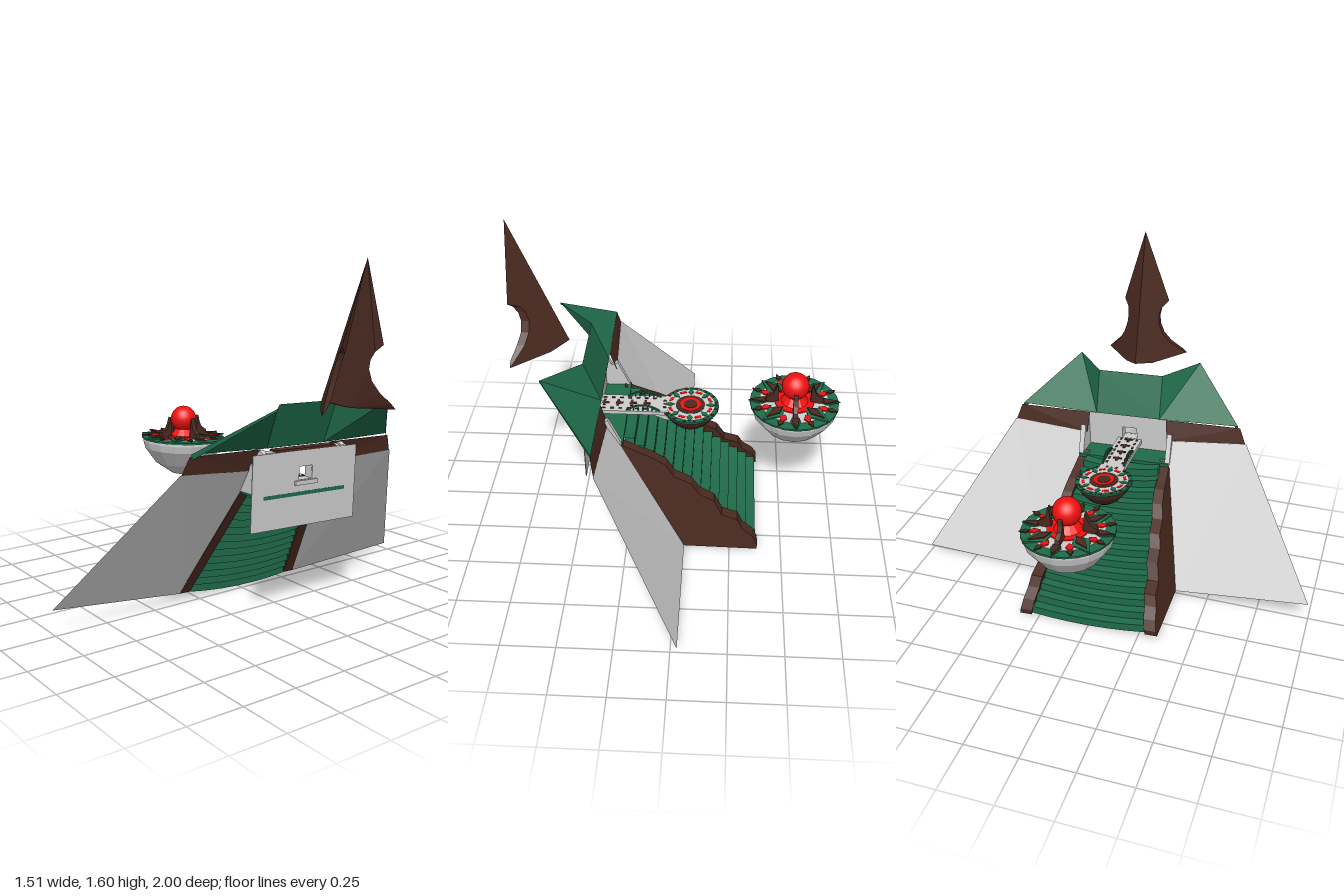
import * as THREE from 'three';

const mat = (color) => new THREE.MeshStandardMaterial({ color, flatShading: true, side: THREE.DoubleSide });

export function createModel() {
  const grey = mat(0xcccccc), brown = mat(0x4a2a20), green = mat(0x1f6b4a), red = mat(0xf01010);
  const root = new THREE.Group();
  const model = new THREE.Group();
  model.name = 'fortress';
  model.rotation.x = -0.04; // the whole model leans slightly back
  root.add(model);

  const add = (name, geo, material, x = 0, y = 0, z = 0, parent = model) => {
    const m = new THREE.Mesh(geo, material);
    m.name = name;
    m.position.set(x, y, z);
    parent.add(m);
    return m;
  };
  const box = (name, material, w, h, d, x, y, z, parent) =>
    add(name, new THREE.BoxGeometry(w, h, d), material, x, y, z, parent);
  const shape = (pts) => new THREE.Shape(pts.map(([x, y]) => new THREE.Vector2(x, y)));
  const extrude = (pts, depth, steps = 1) =>
    new THREE.ExtrudeGeometry(shape(pts), { depth, steps, bevelEnabled: false });
  const reshape = (geo, rule) => {
    const p = geo.attributes.position;
    for (let i = 0; i < p.count; i++) p.setXYZ(i, ...rule(p.getX(i), p.getY(i), p.getZ(i)));
    geo.computeVertexNormals();
    return geo;
  };
  const quad = (...corners) => {
    const geo = new THREE.BufferGeometry();
    geo.setAttribute('position', new THREE.Float32BufferAttribute(corners.flat(), 3));
    geo.setIndex([0, 1, 2, 0, 2, 3]);
    geo.computeVertexNormals();
    return geo;
  };
  const lathe = (pts, sides) => new THREE.LatheGeometry(pts.map(([r, y]) => new THREE.Vector2(r, y)), sides);

  // Staircase: stepped above and below, narrowing upward and sagging in the middle
  const n = 14, wallX = (y) => -0.03 + (y - 0.02) * 0.56;
  const stepY = (i) => 0.02 + i * 0.039, stepX = (i) => -0.375 + i * 0.045;
  const profile = [];
  for (let i = 0; i < n; i++) profile.push([stepX(i), stepY(i)], [stepX(i), stepY(i + 1)]);
  for (let i = n - 1; i >= 0; i--) {
    profile.push([wallX(stepY(i + 1)), stepY(i + 1)], [wallX(stepY(i)), stepY(i + 1)]);
  }
  profile.push([wallX(0.02), 0.02]);
  add('stairs', reshape(extrude(profile, 2, 6), (x, y, z) => {
    const t = z - 1;
    return [x, y - 0.02 * (1 - t * t), t * (0.295 - 0.18 * y)];
  }), green);
  box('landing', green, 0.175, 0.017, 0.47, 0.348, 0.563, 0);

  const wave = [[-0.03, 0.02], [0.29, 0.58], [0.26, 0.555], [0.17, 0.515], [0.13, 0.5], [0.06, 0.46],
    [0.02, 0.4], [-0.06, 0.365], [-0.1, 0.31], [-0.17, 0.275], [-0.21, 0.2], [-0.285, 0.175],
    [-0.31, 0.125], [-0.36, 0.085], [-0.385, 0.04], [-0.385, 0.015]];
  // Spike plate outline
  const spikePts = [[0.515, 0.985], [0.59, 0.965], [0.755, 0.967], [0.735, 0.99], [0.695, 1.04], [0.677, 1.09],
    [0.675, 1.14], [0.685, 1.18], [0.705, 1.215], [0.755, 1.245], [0.755, 1.6]];
  const ridge = (y) => 0.515 + 0.39 * (y - 0.985);

  // Mirrored halves
  for (const s of [1, -1]) {
    const side = new THREE.Group();
    side.name = s > 0 ? 'leftHalf' : 'rightHalf';
    side.scale.z = s;
    model.add(side);
    const part = (name, geo, material) => add(name, geo, material, 0, 0, 0, side);
    part('stairBanister', reshape(extrude(wave, 1), (x, y, t) =>
      [x, y, 0.29 - 0.18 * y + t * (0.06 - 0.02 * y)]), brown);
    part('slopingWall', quad([-0.03, 0.02, 0.345], [-0.03, 0.065, 1], [0.348, 0.687, 0.61], [0.33, 0.665, 0.215]), grey);
    part('wallFascia', quad([0.33, 0.665, 0.21], [0.348, 0.687, 0.605], [0.362, 0.765, 0.575], [0.36, 0.765, 0.2]), brown);
    part('roofWing', quad([0.36, 0.765, 0.165], [0.36, 0.775, 0.565], [0.605, 0.983, 0.317], [0.435, 0.97, 0.165]), green);
    part('roofWingEdge', quad([0.36, 0.775, 0.565], [0.605, 0.983, 0.317], [0.605, 0.973, 0.315], [0.36, 0.75, 0.56]), green);
    const cheek = part('gateSideWall', extrude([[0.265, 0.565], [0.435, 0.565], [0.435, 0.755], [0.4, 0.77],
      [0.375, 0.735], [0.355, 0.69], [0.325, 0.705]], 0.025), grey);
    cheek.position.z = 0.215;
    part('spikePlate', reshape(extrude(spikePts, 1), (x, y, t) =>
      [Math.min(0.755, x + 0.035 * t), y, 0.85 * Math.max(0, x - ridge(y))]), brown);
  }
  add('roofCentre', quad([0.36, 0.765, 0.165], [0.435, 0.97, 0.165], [0.435, 0.97, -0.165], [0.36, 0.765, -0.165]), green);

  // Gate wall and the wider rear panel, both pierced by the same window
  const pierced = (name, halfW, y0, y1, depth, x) => {
    const s = shape([[-halfW, y0], [halfW, y0], [halfW, y1], [-halfW, y1]]);
    s.holes.push(new THREE.Path([[-0.038, 0.625], [-0.038, 0.685], [0.038, 0.685], [0.038, 0.625]]
      .map(([a, b]) => new THREE.Vector2(a, b))));
    const m = add(name, new THREE.ExtrudeGeometry(s, { depth, bevelEnabled: false }), grey, x);
    m.rotation.y = Math.PI / 2;
  };
  pierced('gateWall', 0.225, 0.565, 0.76, 0.045, 0.385);
  pierced('rearPanel', 0.3, 0.415, 0.757, 0.004, 0.431);
  box('lintel', brown, 0.05, 0.012, 0.34, 0.41, 0.762, 0);

  // Walkway with bracket, arched rails and inlays
  box('walkway', grey, 0.385, 0.02, 0.125, 0.252, 0.613, 0);
  add('walkwayBracket', extrude([[0.02, 0.55], [0.08, 0.56], [0.14, 0.588], [0.2, 0.602], [0.29, 0.604], [0.03, 0.61]], 0.08),
    grey, 0, 0, -0.04);
  for (const z of [-0.055, 0.055]) {
    const arch = new THREE.CatmullRomCurve3([[0.1, 0.622], [0.135, 0.645], [0.18, 0.655], [0.225, 0.645], [0.26, 0.622]]
      .map(([x, y]) => new THREE.Vector3(x, y, z)));
    add('archRail', new THREE.TubeGeometry(arch, 12, 0.005, 5), green);
    for (let i = 1; i < 8; i++) {
      const p = arch.getPoint(i / 8);
      box('railPost', green, 0.006, p.y - 0.62, 0.006, p.x, (p.y + 0.62) / 2, z);
    }
    for (let i = 0; i < 7; i++) box('edgeInlay', brown, 0.018, 0.004, 0.01, 0.13 + i * 0.04, 0.624, z * 0.75);
  }
  for (let i = 0; i < 4; i++) {
    box('inlayStem', brown, 0.034, 0.006, 0.012, 0.165 + i * 0.066, 0.624, 0);
    box('inlayBar', brown, 0.012, 0.006, 0.045, 0.172 + i * 0.066, 0.624, 0);
  }

  // Repeats a part around a vertical axis
  const ring = (parent, count, make, offset = 0) => {
    for (let i = 0; i < count; i++) {
      const arm = new THREE.Group();
      arm.rotation.y = (i + offset) * 2 * Math.PI / count;
      parent.add(arm);
      make(arm);
    }
  };
  const disc = (name, material, r, h, y, parent, sides = 24) =>
    add(name, new THREE.CylinderGeometry(r, r, h, sides), material, 0, y, 0, parent);
  // Flat leaf pointing outward from r0 to r1
  const leaf = (name, material, r0, r1, w, y, parent) => {
    const m = add(name, extrude([[r0, 0], [r0 + (r1 - r0) * 0.4, -w], [r1, 0], [r0 + (r1 - r0) * 0.4, w]], 0.006),
      material, 0, y, 0, parent);
    m.rotation.x = -Math.PI / 2;
  };

  // Small platform
  const small = new THREE.Group();
  small.name = 'smallPlatform';
  small.position.set(-0.045, 0, 0);
  model.add(small);
  add('smallBowl', lathe([[0, 0.5], [0.035, 0.503], [0.08, 0.535], [0.118, 0.58], [0.132, 0.612], [0, 0.612]], 16), brown, 0, 0, 0, small);
  disc('smallRim', green, 0.137, 0.01, 0.617, small);
  disc('smallFloor', grey, 0.118, 0.004, 0.622, small);
  disc('smallCentre', brown, 0.07, 0.006, 0.623, small);
  disc('redRing', red, 0.05, 0.006, 0.625, small);
  disc('ringCore', brown, 0.032, 0.006, 0.627, small);
  ring(small, 8, (arm) => {
    box('redTile', red, 0.014, 0.006, 0.032, 0.1, 0.623, 0, arm);
  }, 0.5);
  ring(small, 8, (arm) => leaf('rimLeaf', green, 0.075, 0.13, 0.014, 0.621, arm));
  ring(small, 16, (arm) => box('rimStud', brown, 0.016, 0.006, 0.012, 0.126, 0.622, 0, arm), 0.5);

  // Large platform with orb and claws
  const large = new THREE.Group();
  large.name = 'orbPlatform';
  large.position.set(-0.54, 0, 0);
  model.add(large);
  add('largeBowl', lathe([[0, 0.472], [0.055, 0.472], [0.14, 0.528], [0.197, 0.605], [0.207, 0.64], [0.207, 0.654], [0, 0.654]], 16), grey, 0, 0, 0, large);
  disc('largeRim', green, 0.212, 0.009, 0.657, large);
  disc('largeFloor', grey, 0.165, 0.004, 0.662, large);
  disc('orbBase', red, 0.095, 0.012, 0.664, large);
  add('orbStand', new THREE.CylinderGeometry(0.035, 0.07, 0.04, 12), red, 0, 0.685, 0, large);
  add('orb', new THREE.SphereGeometry(0.065, 32, 20), new THREE.MeshStandardMaterial({ color: 0xf01010 }), 0, 0.755, 0, large);
  const claw = [[0.145, 0.66], [0.135, 0.69], [0.105, 0.71], [0.094, 0.735], [0.085, 0.768], [0.078, 0.735], [0.075, 0.66]];
  ring(large, 4, (arm) => {
    add('claw', extrude(claw, 0.022), brown, 0, 0, -0.011, arm);
    leaf('longLeaf', brown, 0.1, 0.212, 0.02, 0.667, arm);
  });
  ring(large, 4, (arm) => {
    leaf('broadLeaf', green, 0.07, 0.215, 0.045, 0.664, arm);
    leaf('broadLeafCore', brown, 0.08, 0.19, 0.022, 0.67, arm);
  }, 0.5);
  ring(large, 8, (arm) => {
    leaf('redPetal', red, 0.12, 0.185, 0.018, 0.665, arm);
    leaf('rimPetal', brown, 0.165, 0.215, 0.014, 0.668, arm);
  }, 0.5);
  ring(large, 8, (arm) => leaf('thinLeaf', green, 0.11, 0.218, 0.026, 0.661, arm));

  return root;
}
